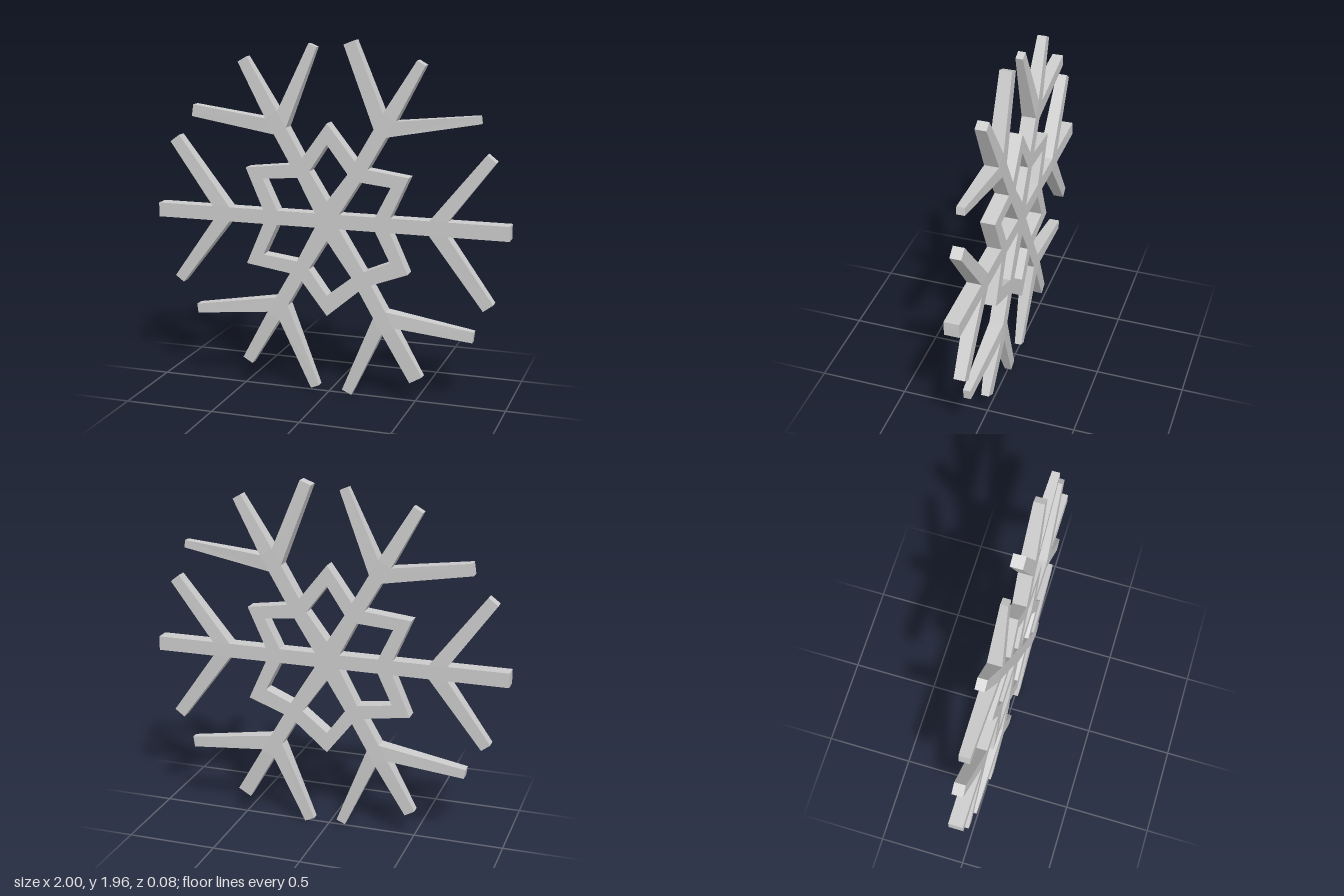
import * as THREE from 'three';

const HALF = 0.04; // half thickness of the plate and half width of the arms
const CENTRE = 0.985;
const material = new THREE.MeshStandardMaterial({ color: 0xcccccc, flatShading: true });
const point = (x, y) => new THREE.Vector2(x, y);
const polar = (radius, angle) => point(radius, 0).rotateAround(point(0, 0), angle);

// Flat plate cut to an outline, with optional openings
function plate(name, outline, holes = []) {
  const shape = new THREE.Shape(outline);
  shape.holes = holes.map((hole) => new THREE.Path(hole));
  const geometry = new THREE.ExtrudeGeometry(shape, { depth: 2 * HALF, bevelEnabled: false });
  geometry.translate(0, 0, -HALF);
  const mesh = new THREE.Mesh(geometry, material);
  mesh.name = name;
  return mesh;
}

// Prong from its base edge (left corner, right corner) to a square-cut tip that is thinner
function prong(name, baseLeft, baseRight, tip, tipWidth, tipThickness) {
  const along = tip.clone().sub(baseLeft.clone().lerp(baseRight, 0.5)).normalize();
  const across = point(along.y, -along.x).multiplyScalar(tipWidth);
  const tipLeft = tip.clone().sub(across);
  const tipRight = tip.clone().add(across);
  const mesh = plate(name, [baseLeft, tipLeft, tipRight, baseRight]);
  const pos = mesh.geometry.attributes.position;
  for (let i = 0; i < pos.count; i++) {
    const v = point(pos.getX(i), pos.getY(i));
    if (Math.min(v.distanceTo(tipLeft), v.distanceTo(tipRight)) < 1e-4) {
      pos.setZ(i, Math.sign(pos.getZ(i)) * tipThickness);
    }
  }
  mesh.geometry.computeVertexNormals();
  return mesh;
}

// Arms every 60 degrees, anticlockwise from +x; the diagonals cross slightly off centre.
// neck: where the arm leaves the star, fork: where its side prongs start,
// width and thin: half width and half thickness of the spine tip,
// sides: both side prongs as [tip along, tip across, half width, half thickness],
// corner: radius of the star point that follows the arm
const ARMS = [
  { name: 'leftArm', neck: 0.355, fork: 0.57, length: 1, width: 0.04, thin: 0.04, corner: 0.527,
    sides: [[0.893, 0.387, 0.032, 0.03], [0.895, 0.413, 0.034, 0.03]] },
  { name: 'upperLeftArm', neck: 0.365, fork: 0.57, length: 1.004, width: 0.026, thin: 0.03, corner: 0.535,
    sides: [[0.893, 0.387, 0.033, 0.033], [0.916, 0.416, 0.021, 0.022]] },
  { name: 'upperRightArm', neck: 0.37, fork: 0.555, length: 0.996, width: 0.03, thin: 0.025, corner: 0.542,
    sides: [[0.893, 0.402, 0.033, 0.03], [0.867, 0.389, 0.025, 0.02]] },
  { name: 'rightArm', neck: 0.37, fork: 0.57, length: 1, width: 0.04, thin: 0.04, corner: 0.542,
    sides: [[0.888, 0.397, 0.03, 0.03], [0.897, 0.412, 0.033, 0.03]] },
  { name: 'lowerRightArm', neck: 0.38, fork: 0.55, length: 0.975, width: 0.032, thin: 0.025, corner: 0.535,
    sides: [[0.874, 0.406, 0.027, 0.02], [0.884, 0.402, 0.026, 0.03]] },
  { name: 'lowerLeftArm', neck: 0.415, fork: 0.58, length: 0.991, width: 0.041, thin: 0.022, corner: 0.527,
    sides: [[0.91, 0.406, 0.031, 0.02], [0.892, 0.4, 0.03, 0.02]] },
];
const angleOf = (i) => (i * Math.PI) / 3;
const offsetOf = (i) => (i % 3 === 0 ? 0 : 0.01);

// Point given along and across arm i, in the plane of the star
const onArm = (i, along, across) =>
  point(along, across).rotateAround(point(0, 0), angleOf(i)).add(point(offsetOf(i), 0));

function createArm({ name, neck, fork, length, width, thin, sides }, i) {
  const arm = new THREE.Group();
  arm.name = name;
  const end = fork + 0.1;

  // Spine: constant up to the end of the fork, then thinning to its tip
  arm.add(plate('hub', [
    point(neck, HALF), point(fork, HALF), point(end, HALF),
    point(end, -HALF), point(fork, -HALF), point(neck, -HALF),
  ]));
  arm.add(prong('spine', point(end, HALF), point(end, -HALF), point(length, 0), width, thin));

  // Side prongs
  const [left, right] = sides;
  arm.add(prong('leftProng', point(fork, HALF), point(end, HALF),
    point(left[0], left[1]), left[2], left[3]));
  arm.add(prong('rightProng', point(end, -HALF), point(fork, -HALF),
    point(right[0], -right[1]), right[2], right[3]));

  arm.rotation.z = angleOf(i);
  arm.position.set(offsetOf(i), CENTRE, 0);
  return arm;
}

// Six-pointed star with one four-sided opening between each pair of arms
function createStar() {
  const outline = [];
  const holes = [];
  ARMS.forEach(({ neck, corner }, i) => {
    const next = (i + 1) % ARMS.length;
    const between = angleOf(i + 0.5);
    outline.push(onArm(i, neck, -HALF), onArm(i, neck, HALF), polar(corner, between));
    holes.push([
      polar(i % 3 === 1 ? 0.11 : 0.08, between),
      onArm(i, neck - 0.082, HALF),
      polar(corner - 0.115, between),
      onArm(next, ARMS[next].neck - 0.082, -HALF),
    ]);
  });
  const star = plate('star', outline, holes);
  star.position.y = CENTRE;
  return star;
}

export function createModel() {
  const model = new THREE.Group();
  model.name = 'snowflake';
  model.add(createStar(), ...ARMS.map(createArm));
  return model;
}
